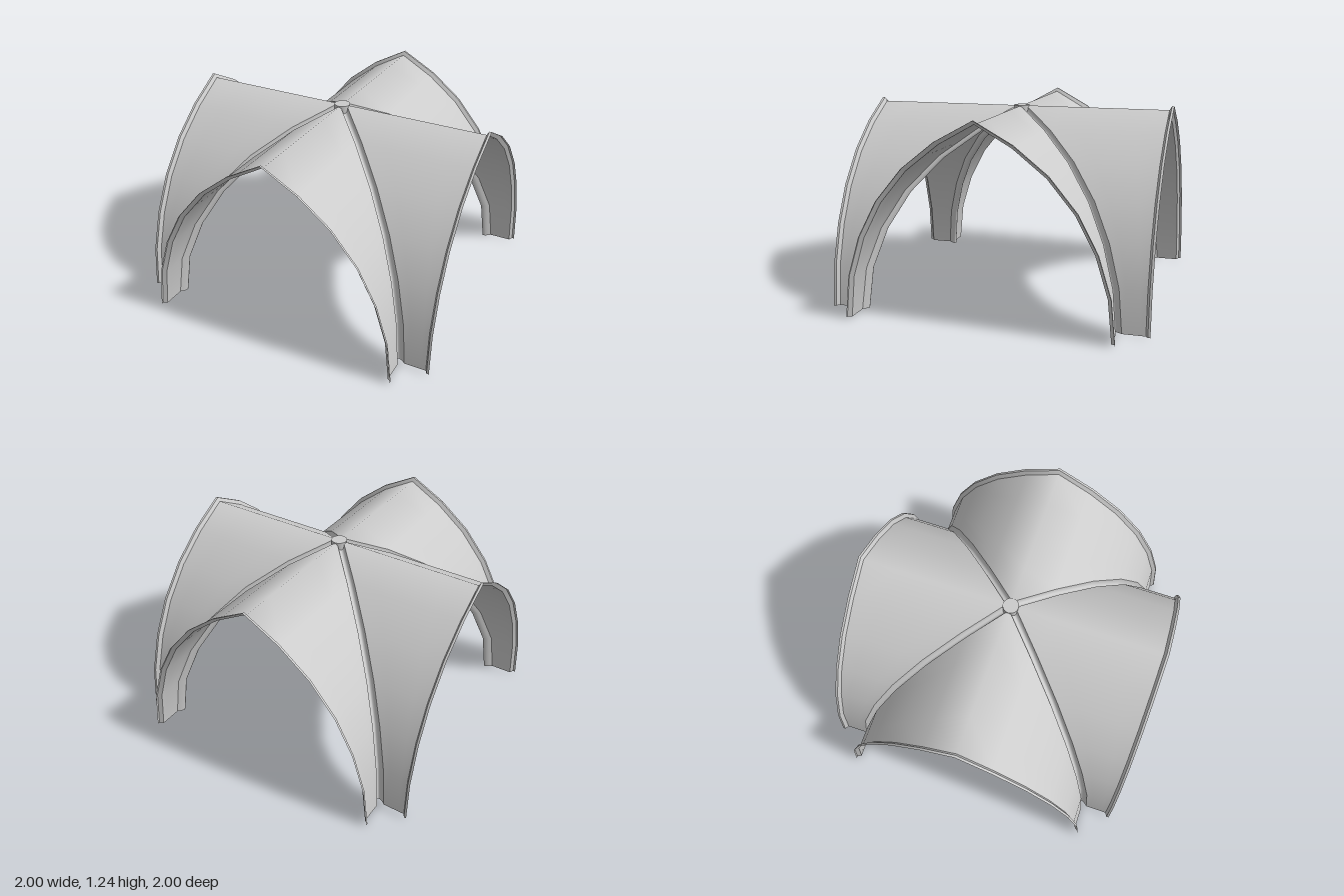
import * as THREE from 'three';

const material = new THREE.MeshStandardMaterial({ color: 0xcccccc, side: THREE.DoubleSide });

// Half of the pointed arch, from foot to apex, as [x, y]
const HALF = [[0.8, 0.004], [0.775, 0.265], [0.7, 0.51], [0.585, 0.73], [0.42, 0.93], [0.22, 1.09], [0, 1.215]];
const GAP = 0.03; // distance from web edge to the groin line
const LIP = 0.025;

// Outward normal of the arch at station i
function normalAt(i) {
  if (i === HALF.length - 1) return [0, 1];
  const a = HALF[Math.max(i - 1, 0)], b = HALF[i + 1];
  const l = Math.hypot(b[0] - a[0], b[1] - a[1]);
  return [(b[1] - a[1]) / l, (a[0] - b[0]) / l];
}

const right = HALF.map(([x, y], i) => {
  const [nx, ny] = normalAt(i);
  return { x, y, nx, ny };
});
const left = right.slice(0, -1).reverse().map((p) => ({ ...p, x: -p.x, nx: -p.nx }));
const arch = [...right, ...left];

// Sheet surface through rows of points
function sheet(name, rows) {
  const n = rows[0].length, index = [];
  for (let i = 0; i < rows.length - 1; i++) {
    for (let j = 0; j < n - 1; j++) {
      const a = i * n + j, b = a + n;
      index.push(a, a + 1, b, b, a + 1, b + 1);
    }
  }
  const geometry = new THREE.BufferGeometry();
  geometry.setAttribute('position', new THREE.Float32BufferAttribute(rows.flat(2), 3));
  geometry.setIndex(index);
  geometry.computeVertexNormals();
  const mesh = new THREE.Mesh(geometry, material);
  mesh.name = name;
  return mesh;
}

// Barrel web between two groins, reaching out to the open arch
function web() {
  return sheet('vaultWeb', arch.map(({ x, y }) => {
    const z0 = Math.abs(x) + GAP;
    return [0, 0.25, 0.5, 0.75, 1].map((t) => [x, y, z0 + (0.97 - z0) * t]);
  }));
}

// Turned-out lip along the open arch
function lip(name, section) {
  return sheet(name, arch.map(({ x, y, nx, ny }) =>
    section.map(([d, z]) => [x + nx * d, y + ny * d, z])));
}

// Rounded channel rib along one groin
function rib() {
  const steps = 8, half = GAP / 2;
  return sheet('groinRib', right.map(({ x, y, nx, ny }) => {
    const row = [];
    for (let k = 0; k <= steps; k++) {
      const a = (k / steps) * Math.PI, s = Math.sin(a), w = half * Math.cos(a);
      const c = (x + half) * (1 - s) + (x - nx * LIP) * s;
      row.push([c - w, Math.max(0, y - ny * LIP * s), c + w]);
    }
    return row;
  }));
}

export function createModel() {
  const model = new THREE.Group();
  model.name = 'groinVault';
  for (let i = 0; i < 4; i++) {
    const bay = new THREE.Group();
    bay.name = 'vaultBay';
    bay.add(
      web(),
      lip('lipFlare', [[0, 0.97], [LIP, 0.985]]),
      lip('lipEdge', [[LIP, 0.985], [LIP, 1]]),
      rib()
    );
    bay.rotation.y = (i * Math.PI) / 2;
    model.add(bay);
  }

  // Round keystone where the ribs meet
  const boss = new THREE.Mesh(new THREE.CylinderGeometry(0.05, 0.05, 0.075, 24), material);
  boss.name = 'keystoneBoss';
  boss.position.y = 1.1825;
  model.add(boss);
  return model;
}
